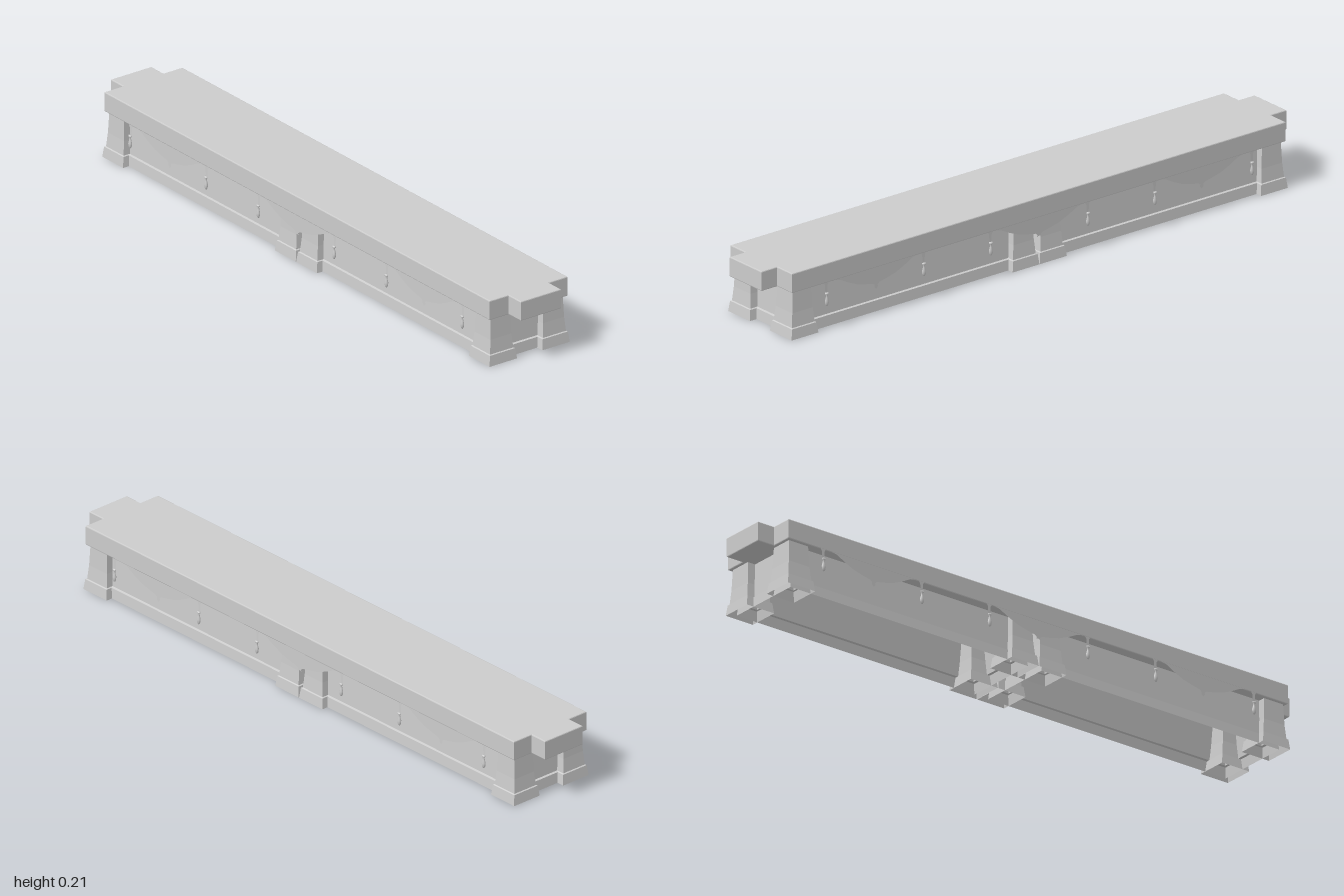
import * as THREE from 'three';

const mat = new THREE.MeshStandardMaterial({ color: 0xcccccc, side: THREE.DoubleSide, flatShading: true });
const smooth = new THREE.MeshStandardMaterial({ color: 0xcccccc, side: THREE.DoubleSide });

function add(parent, name, geometry, material = mat) {
  const mesh = new THREE.Mesh(geometry, material);
  mesh.name = name;
  parent.add(mesh);
  return mesh;
}

// Open four-sided shell through a stack of rectangles: [y, half width, half depth]
function rectShell(levels) {
  const pos = [], idx = [];
  levels.forEach(([y, w, d]) => pos.push(-w, y, d, w, y, d, w, y, -d, -w, y, -d));
  for (let i = 0; i < levels.length - 1; i++) {
    for (let j = 0; j < 4; j++) {
      const a = i * 4 + j, b = i * 4 + (j + 1) % 4;
      idx.push(a, b, b + 4, a, b + 4, a + 4);
    }
  }
  const g = new THREE.BufferGeometry();
  g.setAttribute('position', new THREE.Float32BufferAttribute(pos, 3));
  g.setIndex(idx);
  return g;
}

// Table top: a long slab with a narrower tab at each end
function slabGeometry() {
  const b = 0.003, x1 = 1 - b, x2 = 0.94 - b, z1 = 0.145 - b, z2 = 0.075 - b;
  const quarter = [[x1, z2], [x2, z2], [x2, z1]];
  const flip = (sx, sz, list) => list.map(([x, z]) => new THREE.Vector2(x * sx, z * sz));
  const back = [...quarter].reverse();
  const shape = new THREE.Shape([
    ...flip(1, 1, quarter), ...flip(-1, 1, back),
    ...flip(-1, -1, quarter), ...flip(1, -1, back),
  ]);
  const g = new THREE.ExtrudeGeometry(shape, {
    depth: 0.063 - 2 * b, bevelEnabled: true, bevelSize: b, bevelThickness: b, bevelSegments: 2,
  });
  return g.rotateX(-Math.PI / 2).translate(0, 0.148 + b, 0);
}

// Hanging sheet with a scalloped lower edge; tip is the depth of the centre point
function swagGeometry(halfWidth, tip) {
  const half = [[1, 0.15], [0.86, 0.145], [0.66, 0.128], [0.46, 0.114], [0.24, 0.105], [0.08, 0.1], [0.035, 0.094], [0.045, 0.088], [0, tip]];
  const right = half.map(([x, y]) => new THREE.Vector2(x * halfWidth, y));
  const left = half.slice(0, -1).reverse().map(([x, y]) => new THREE.Vector2(-x * halfWidth, y));
  return new THREE.ShapeGeometry(new THREE.Shape([...right, ...left]));
}

// Narrow flat strip that carries a drop
function strandGeometry() {
  return new THREE.ShapeGeometry(new THREE.Shape([
    [-0.01, 0.15], [-0.005, 0.142], [-0.004, 0.115], [0.004, 0.115], [0.005, 0.142], [0.01, 0.15],
  ].map(([x, y]) => new THREE.Vector2(x, y))));
}

// Drop: a small collar above a slim, rounded body
function dropGeometry() {
  const profile = [[0, 0.118], [0.006, 0.118], [0.006, 0.113], [0.003, 0.111], [0.004, 0.103], [0.007, 0.092], [0.006, 0.083], [0.003, 0.077], [0, 0.075]]
    .reverse().map(([r, y]) => new THREE.Vector2(r, y));
  const g = new THREE.LatheGeometry(profile, 10);
  return g.scale(1, 1, 0.75);
}

export function createModel() {
  const model = new THREE.Group();
  model.name = 'longTable';
  add(model, 'tableTop', slabGeometry());

  // Two identical hollow bases side by side, each with four flared legs
  const leg = rectShell([[0, 0.051, 0.051], [0.033, 0.047, 0.047], [0.035, 0.043, 0.043], [0.08, 0.039, 0.039], [0.149, 0.036, 0.036]]);
  const body = rectShell([[0, 0.447, 0.128], [0.033, 0.444, 0.125], [0.035, 0.437, 0.118], [0.149, 0.43, 0.111]]);
  for (const side of [1, -1]) {
    const base = new THREE.Group();
    base.name = side > 0 ? 'leftBase' : 'rightBase';
    base.position.x = side * 0.473;
    add(base, 'panelWalls', body);
    for (const x of [-0.421, 0.421]) {
      for (const z of [-0.098, 0.098]) add(base, 'leg', leg).position.set(x, 0, z);
    }
    model.add(base);
  }

  // Swags and drops along both long sides
  const sideSwag = swagGeometry(0.16, 0.08);
  const middleSwag = swagGeometry(0.17, 0.09);
  const strand = strandGeometry();
  const drop = dropGeometry();
  for (const side of [1, -1]) {
    const trim = new THREE.Group();
    trim.name = side > 0 ? 'frontTrim' : 'backTrim';
    trim.position.z = side * 0.1455;
    if (side < 0) trim.rotation.y = Math.PI;
    for (const x of [-0.62, 0, 0.62]) add(trim, 'swag', x ? sideSwag : middleSwag).position.x = x;
    for (const x of [-0.81, -0.44, -0.185, 0.185, 0.44, 0.81]) {
      add(trim, 'strand', strand).position.x = x;
      add(trim, 'drop', drop, smooth).position.set(x, 0, 0.0025);
    }
    model.add(trim);
  }
  return model;
}
